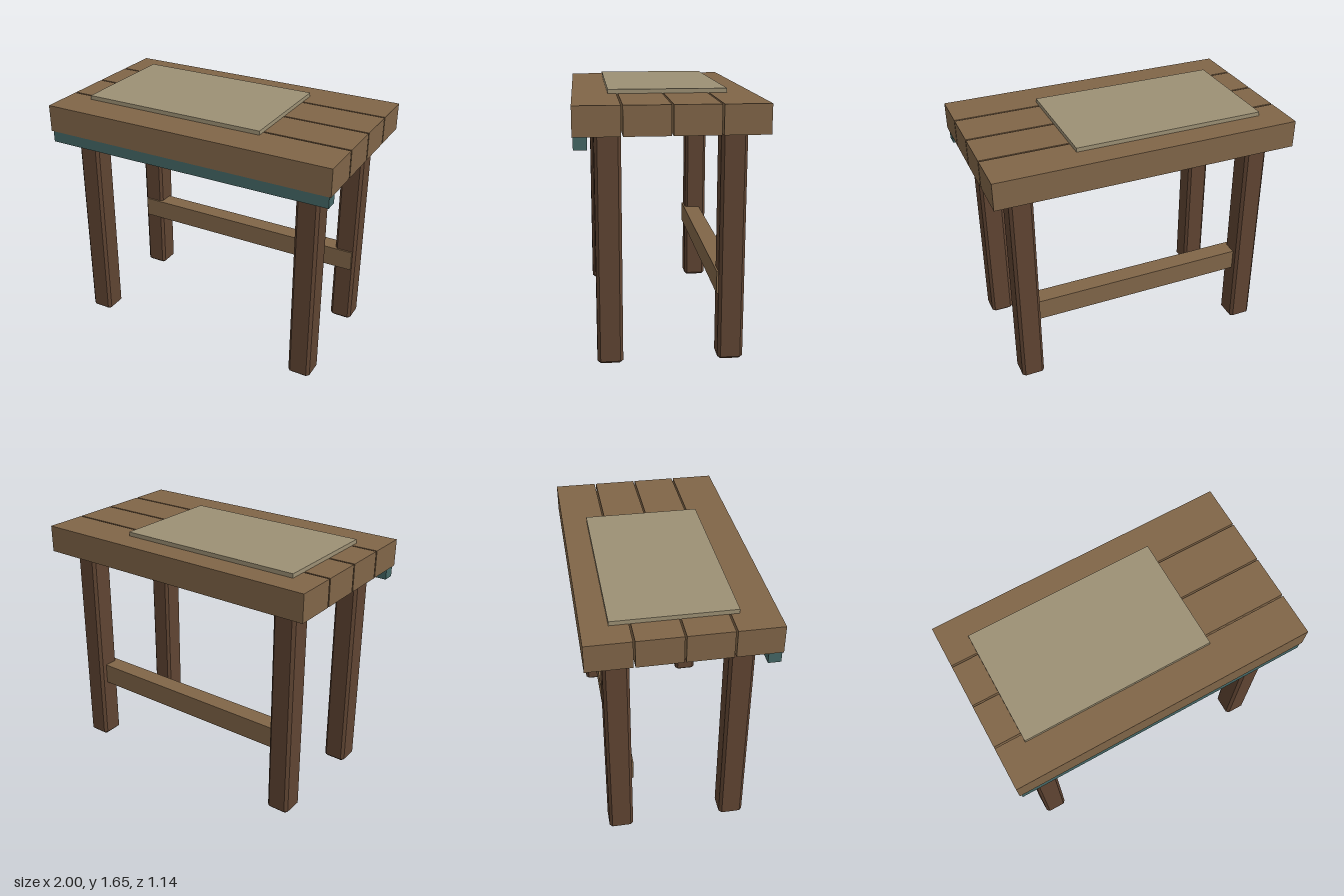
import * as THREE from 'three';

const material = (name, color) => {
  const m = new THREE.MeshStandardMaterial({ color });
  m.name = name;
  return m;
};

// Box given by its extents on each axis
function slab(name, mat, [x0, x1], [y0, y1], [z0, z1]) {
  const mesh = new THREE.Mesh(new THREE.BoxGeometry(x1 - x0, y1 - y0, z1 - z0), mat);
  mesh.name = name;
  mesh.position.set((x0 + x1) / 2, (y0 + y1) / 2, (z0 + z1) / 2);
  return mesh;
}

// Square post with chamfered long edges and ends, standing on y = 0
function postGeometry(width, depth, height, chamfer) {
  const w = width / 2 - chamfer, d = depth / 2 - chamfer, c = 0.009;
  const shape = new THREE.Shape([
    [w, -d + c], [w, d - c], [w - c, d], [-w + c, d],
    [-w, d - c], [-w, -d + c], [-w + c, -d], [w - c, -d],
  ].map(([x, y]) => new THREE.Vector2(x, y)));
  const geometry = new THREE.ExtrudeGeometry(shape, {
    depth: height - 2 * chamfer, bevelEnabled: true,
    bevelSize: chamfer, bevelThickness: chamfer, bevelSegments: 1,
  });
  return geometry.rotateX(-Math.PI / 2).translate(0, chamfer, 0);
}

export function createModel() {
  const group = new THREE.Group();
  group.name = 'workTable';
  const plankWood = material('plankWood', 0x806548);
  const legWood = material('legWood', 0x5f4432);
  const sheetColor = material('sheetTan', 0x9c9074);
  const trimColor = material('trimTeal', 0x446664);

  // Table top: four planks with narrow gaps
  const plankDepth = 0.278, pitch = 0.289;
  for (let i = 0; i < 4; i++) {
    const z = (i - 1.5) * pitch;
    group.add(slab('topPlank', plankWood, [-1, 1], [1.442, 1.621],
      [z - plankDepth / 2, z + plankDepth / 2]));
  }

  // Legs
  const legGeometry = postGeometry(0.153, 0.159, 1.47, 0.016);
  for (const x of [-0.806, 0.806]) {
    for (const z of [0.368, -0.382]) {
      const leg = new THREE.Mesh(legGeometry, legWood);
      leg.name = z > 0 ? 'frontLeg' : 'backLeg';
      leg.position.set(x, 0, z);
      group.add(leg);
    }
  }

  // Rear stretcher, front trim strip and the sheet lying on top
  group.add(slab('backStretcher', plankWood, [-0.86, 0.86], [0.432, 0.574], [-0.411, -0.291]));
  group.add(slab('frontTrim', trimColor, [-0.988, 0.988], [1.366, 1.444], [0.487, 0.567]));
  group.add(slab('sheet', sheetColor, [-0.827, 0.432], [1.618, 1.648], [-0.41, 0.347]));
  return group;
}
